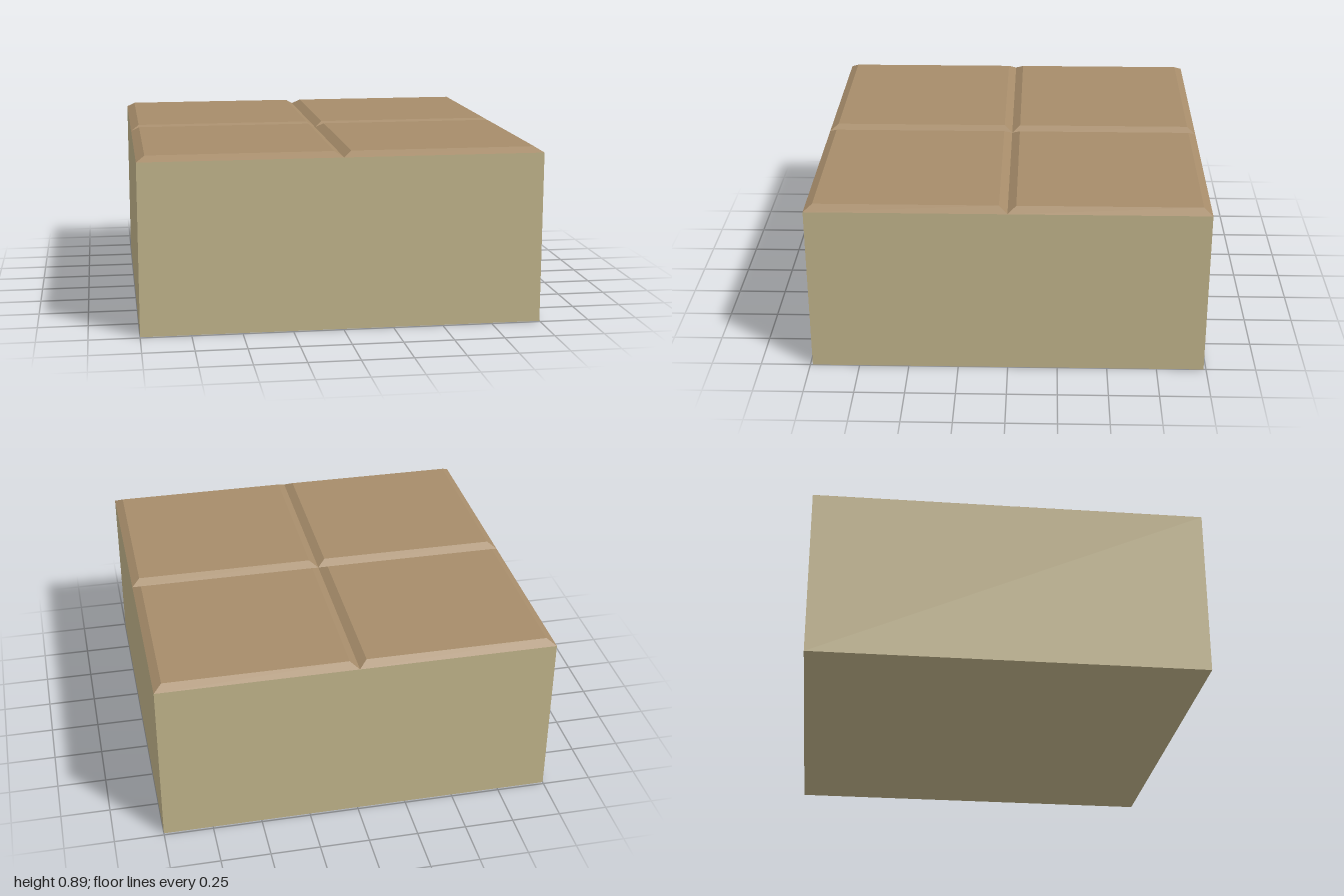
import * as THREE from 'three';

const WIDTH = 2, DEPTH = 1.975, BODY_TOP = 0.86, TILE_HEIGHT = 0.026, BEVEL = 0.042;

// Box whose top edge is drawn in on all sides, giving a bevelled slab
function bevelledSlab(w, h, d, inset) {
  const geo = new THREE.BoxGeometry(w, h, d);
  const p = geo.attributes.position;
  for (let i = 0; i < p.count; i++) {
    if (p.getY(i) > 0) {
      p.setX(i, p.getX(i) - Math.sign(p.getX(i)) * inset);
      p.setZ(i, p.getZ(i) - Math.sign(p.getZ(i)) * inset);
    }
  }
  geo.computeVertexNormals();
  return geo;
}

export function createModel() {
  const group = new THREE.Group();
  group.name = 'tiledBlock';

  const sand = new THREE.MeshStandardMaterial({ color: 0xbfb289 });
  sand.name = 'sand';
  const brown = new THREE.MeshStandardMaterial({ color: 0xa68c6a });
  brown.name = 'brown';

  // Solid base block
  const body = new THREE.Mesh(new THREE.BoxGeometry(WIDTH, BODY_TOP, DEPTH), sand);
  body.name = 'body';
  body.position.y = BODY_TOP / 2;
  group.add(body);

  // Four bevelled paving tiles on top, meeting in V grooves
  const tileGeo = bevelledSlab(WIDTH / 2, TILE_HEIGHT, DEPTH / 2, BEVEL);
  for (const [sx, side] of [[1, 'Left'], [-1, 'Right']]) {
    for (const [sz, end] of [[1, 'front'], [-1, 'back']]) {
      const tile = new THREE.Mesh(tileGeo, brown);
      tile.name = `${end}${side}Tile`;
      tile.position.set(sx * WIDTH / 4, BODY_TOP + TILE_HEIGHT / 2, sz * DEPTH / 4);
      group.add(tile);
    }
  }
  return group;
}
